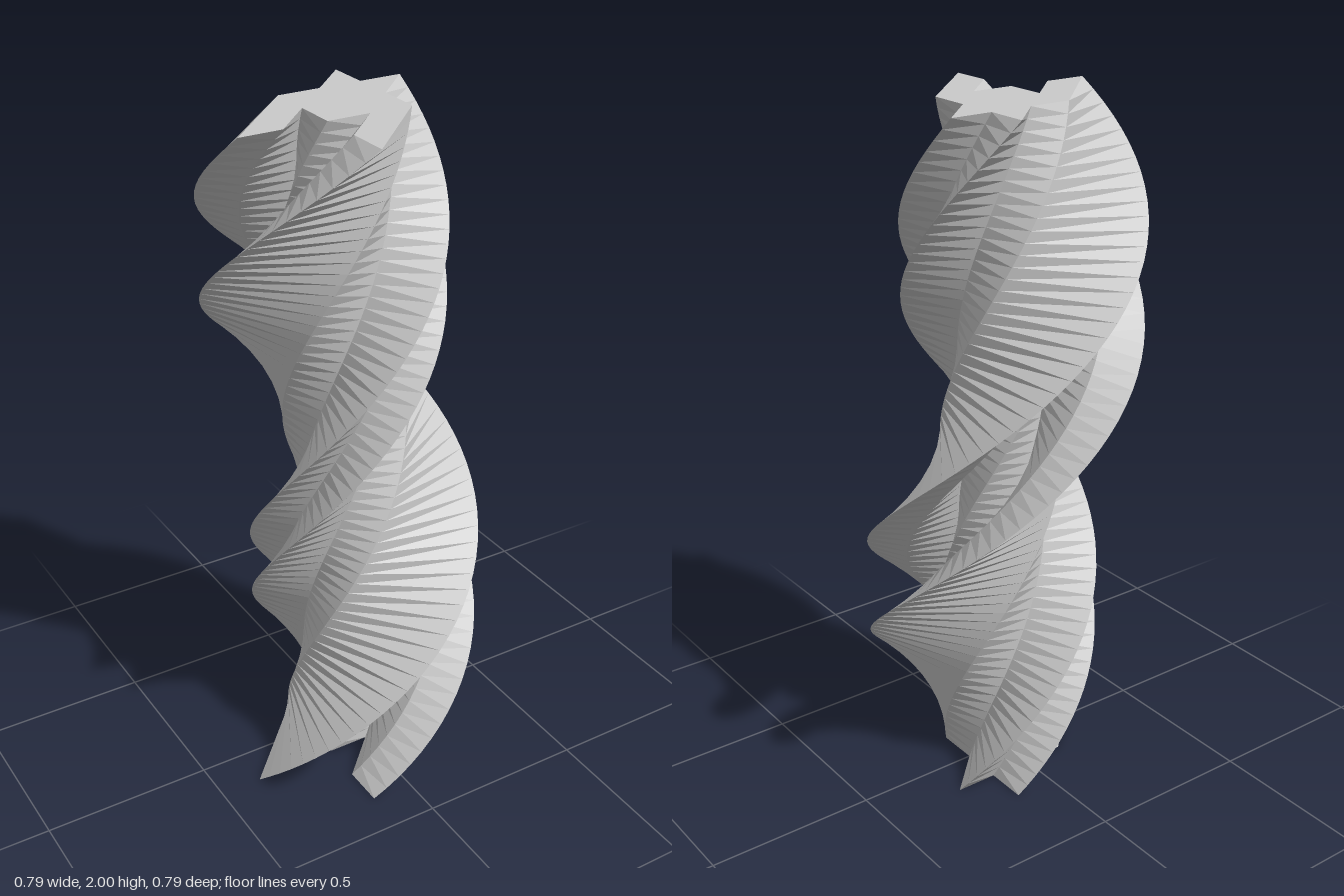
import * as THREE from 'three';

const HEIGHT = 2, STEPS = 64, UNIT = 0.125;

// Star-like cross-section as [x, z] in grid units
const SECTION = [
  [1, -2], [1, -1], [2, -1], [1, 0], [1, 1], [-1, 3], [-1, 2],
  [0, 1], [-1, 1], [-1, 0], [-2, 1], [-3, 1], [-1, -1], [0, -1],
];

export function createModel() {
  const group = new THREE.Group();
  group.name = 'twistedColumn';

  // Straight prism standing on y = 0
  const shape = new THREE.Shape(SECTION.map(([x, z]) => new THREE.Vector2(x * UNIT, -z * UNIT)));
  const geometry = new THREE.ExtrudeGeometry(shape, { depth: HEIGHT, steps: STEPS, bevelEnabled: false });
  geometry.rotateX(-Math.PI / 2);

  // One full turn about the vertical axis over the height
  const position = geometry.attributes.position;
  const axis = new THREE.Vector3(0, 1, 0);
  const v = new THREE.Vector3();
  for (let i = 0; i < position.count; i++) {
    v.fromBufferAttribute(position, i);
    v.applyAxisAngle(axis, (v.y / HEIGHT) * Math.PI * 2);
    position.setXYZ(i, v.x, v.y, v.z);
  }
  geometry.computeVertexNormals();

  const material = new THREE.MeshStandardMaterial({ color: 0xcccccc, flatShading: true });
  const column = new THREE.Mesh(geometry, material);
  column.name = 'column';
  group.add(column);
  return group;
}
